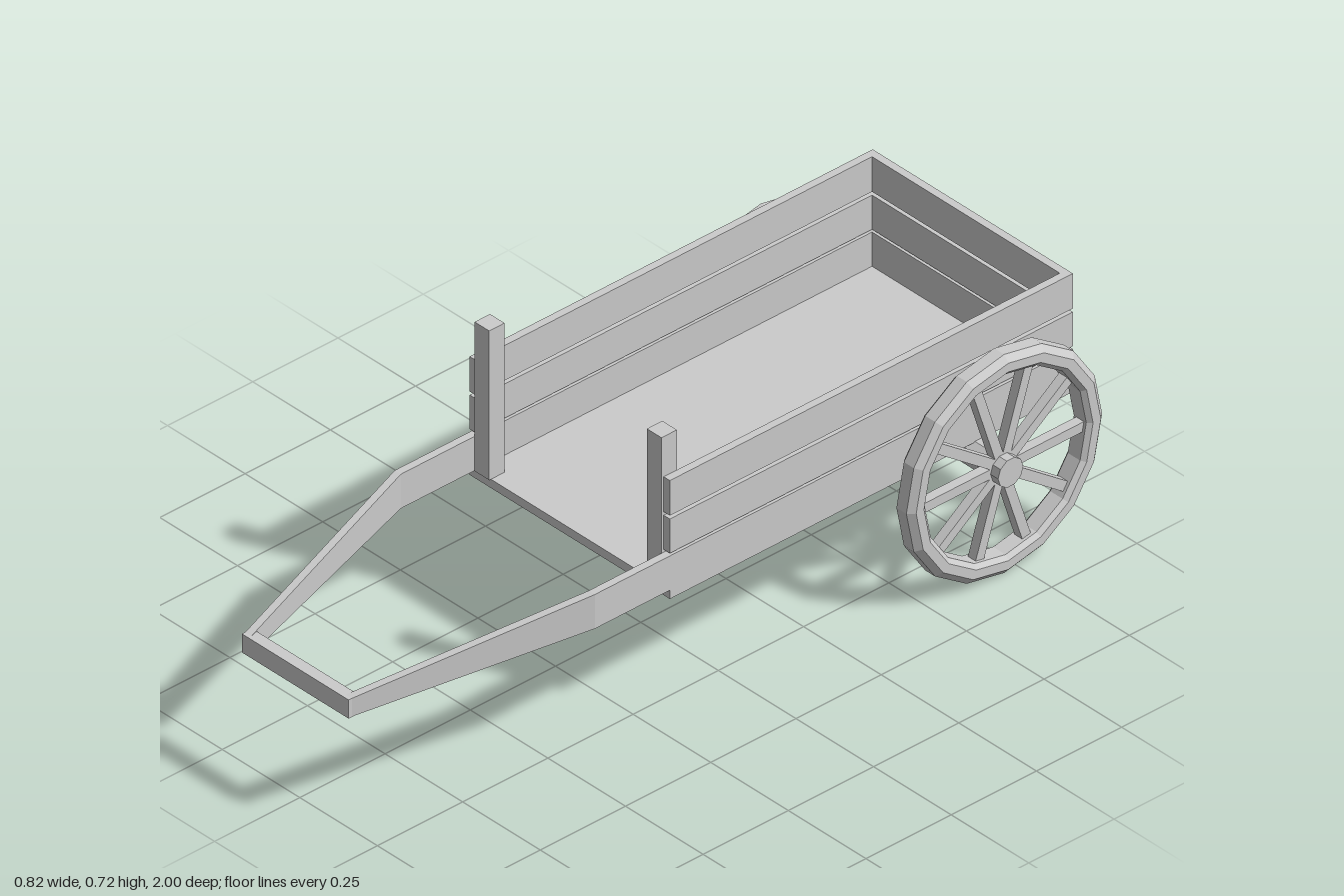
import * as THREE from 'three';

const material = new THREE.MeshStandardMaterial({ color: 0xcccccc, flatShading: true });

export function createModel() {
  const cart = new THREE.Group();
  cart.name = 'handcart';

  const add = (name, geometry, parent = cart) => {
    const mesh = new THREE.Mesh(geometry, material);
    mesh.name = name;
    parent.add(mesh);
    return mesh;
  };
  // Box given by its limits on each axis
  const box = (name, [x0, x1], [y0, y1], [z0, z1]) =>
    add(name, new THREE.BoxGeometry(x1 - x0, y1 - y0, z1 - z0))
      .position.set((x0 + x1) / 2, (y0 + y1) / 2, (z0 + z1) / 2);

  // Cart bed, slightly off the centre line
  const mid = -0.0145, half = 0.3225, board = 0.02;
  const back = -0.987, front = 0.195;
  const rows = [[0.33, 0.42], [0.427, 0.517], [0.526, 0.618]];

  box('floor', [mid - half, mid + half], [0.307, 0.33], [back, front]);
  rows.forEach((y) => box('backBoard', [mid - half, mid + half], y, [back, back + board]));

  // Lower side rail running on into a tapering pull shaft
  const stations = [
    { z: back + board, x: half, y0: 0.33, y1: 0.42 },
    { z: 0.415, x: half, y0: 0.33, y1: 0.42 },
    { z: 0.99, x: 0.172, y0: 0.288, y1: 0.336 },
  ];
  const shaft = (side) => {
    const g = new THREE.BoxGeometry(1, 1, 1, 1, 1, 2);
    const p = g.attributes.position;
    for (let i = 0; i < p.count; i++) {
      const s = stations[Math.round(p.getZ(i) * 2) + 1];
      const outer = p.getX(i) * side > 0;
      p.setXYZ(i, mid + side * (outer ? s.x : s.x - board), p.getY(i) > 0 ? s.y1 : s.y0, s.z);
    }
    g.computeVertexNormals();
    return g;
  };

  for (const side of [-1, 1]) {
    const span = (a, b) => [mid + side * a, mid + side * b].sort((m, n) => m - n);
    const label = side > 0 ? 'left' : 'right';
    rows.slice(1).forEach((y) =>
      box(label + 'SideBoard', span(half - board, half), y, [back + board, front]));
    box(label + 'Post', span(0.254, 0.301), [0.33, 0.722], [0.155, 0.2]);
    add(label + 'Shaft', shaft(side));
  }
  box('handleBar', [mid - 0.172, mid + 0.172], [0.287, 0.336], [0.97, 1]);

  // Axle
  const axleY = 0.274, wheelZ = -0.711;
  const axle = add('axle', new THREE.CylinderGeometry(0.037, 0.037, 0.825, 10).rotateZ(Math.PI / 2));
  axle.position.set(-0.0015, axleY, wheelZ);

  // Bevelled sixteen-sided wheels with ten spokes
  const radius = 0.287;
  const profile = [
    [0.237, -0.02], [0.248, -0.03], [0.271, -0.03], [radius, -0.016],
    [radius, 0.016], [0.271, 0.03], [0.248, 0.03], [0.237, 0.02], [0.237, -0.02],
  ].map(([r, y]) => new THREE.Vector2(r, y));

  for (const [name, x] of [['rightWheel', -0.378], ['leftWheel', 0.374]]) {
    const wheel = new THREE.Group();
    wheel.name = name;
    wheel.position.set(x, radius, wheelZ);
    cart.add(wheel);
    add('rim', new THREE.LatheGeometry(profile, 16).rotateZ(Math.PI / 2), wheel);
    for (let i = 0; i < 10; i++) {
      // Each spoke runs from the hub into the rim
      const spoke = add('spoke', new THREE.BoxGeometry(0.025, 0.025, 0.235).translate(0, 0, 0.127), wheel);
      spoke.position.y = axleY - radius;
      spoke.rotation.x = (i * Math.PI) / 5;
    }
  }
  return cart;
}
